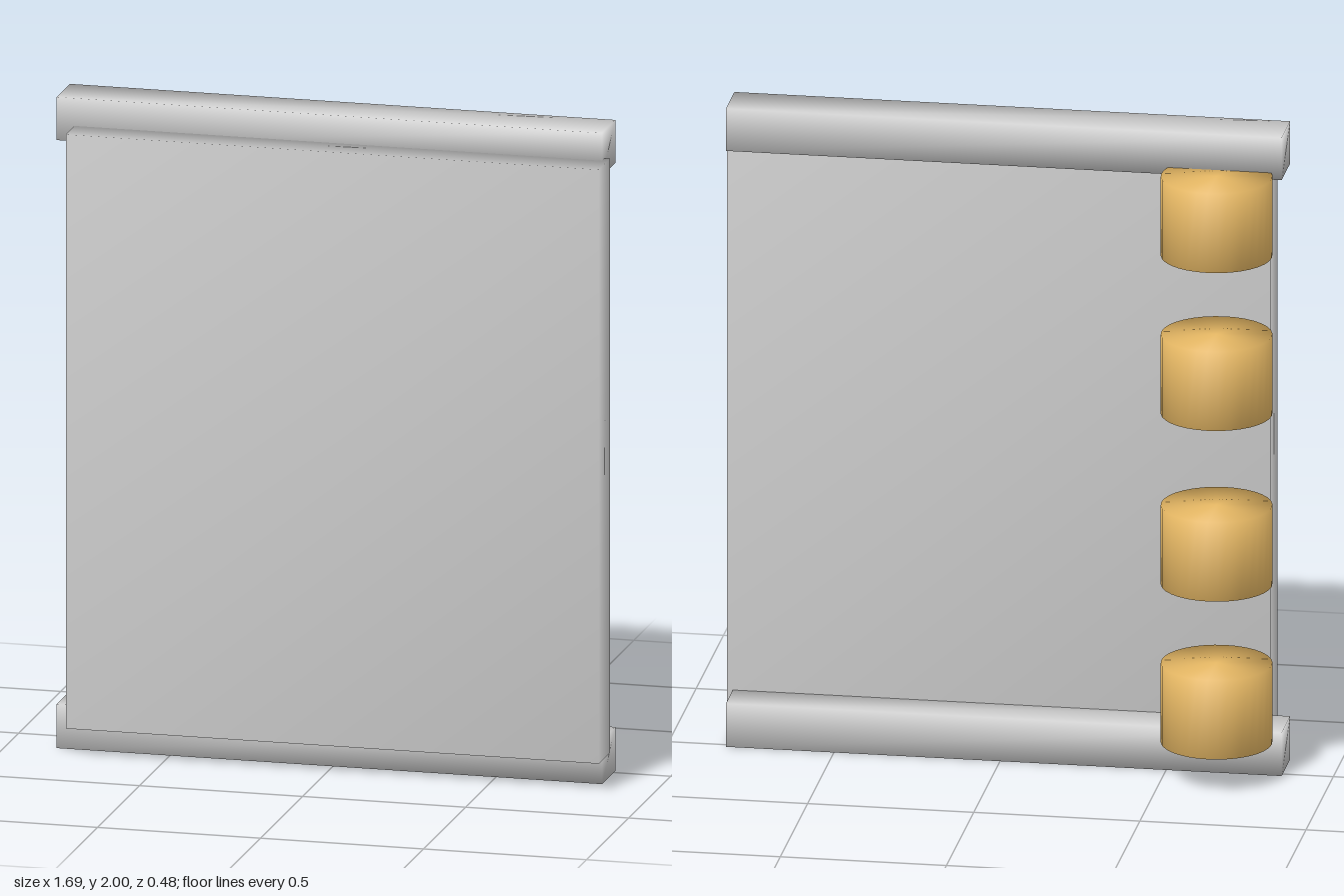
import * as THREE from 'three';
import { mergeVertices } from 'three/addons/utils/BufferGeometryUtils.js';

// Weld corners so normals blend over every edge
function soften(geometry) {
  geometry.deleteAttribute('uv');
  geometry.deleteAttribute('normal');
  const welded = mergeVertices(geometry, 1e-4);
  welded.computeVertexNormals();
  return welded;
}

export function createModel() {
  const group = new THREE.Group();
  const grey = new THREE.MeshStandardMaterial({ color: 0xcccccc });
  const amber = new THREE.MeshStandardMaterial({ color: 0xeabb66 });

  function add(name, geometry, material, x, y, z) {
    const mesh = new THREE.Mesh(soften(geometry), material);
    mesh.name = name;
    mesh.position.set(x, y, z);
    group.add(mesh);
  }

  // Door panel
  add('panel', new THREE.BoxGeometry(1.635, 1.825, 0.132), grey, 0.025, 1.0025, 0.176);

  // Rails along the bottom and top, behind the panel
  add('bottomRail', new THREE.BoxGeometry(1.673, 0.135, 0.158), grey, -0.011, 0.0675, 0.06);
  add('topRail', new THREE.BoxGeometry(1.673, 0.132, 0.158), grey, -0.011, 1.934, 0.06);

  // Column of drums behind one edge
  [0.24, 0.735, 1.27, 1.765].forEach((y, i) => {
    add(`drum${i + 1}`, new THREE.CylinderGeometry(0.166, 0.166, 0.248, 32), amber, -0.661, y, -0.075);
  });

  return group;
}
